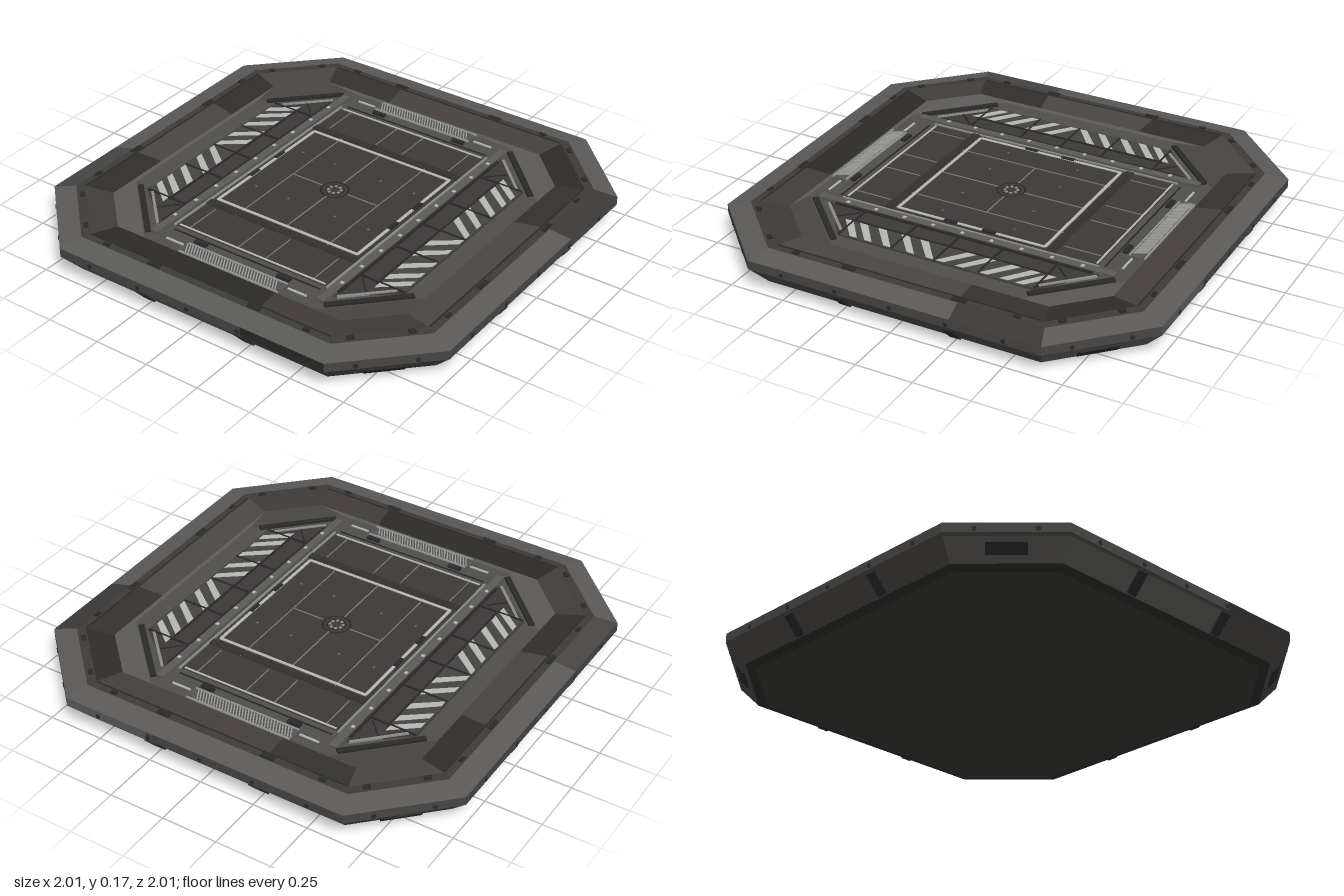
import * as THREE from 'three';

const mats = {};
const mat = (color) => (mats[color] ??= new THREE.MeshStandardMaterial({ color, flatShading: true }));
const LIGHT = 0x5a5957, MID = 0x464543, DARK = 0x2a2928, FLOOR = 0x3d3838, WHITE = 0xb4b4b2;

// Corners of a chamfered square: half width h, flat edge half length c, height y
const ring = ([h, c, y]) =>
  [[h, c], [c, h], [-c, h], [-h, c], [-h, -c], [-c, -h], [c, -h], [h, -c]].map(([x, z]) => new THREE.Vector3(x, y, z));

// Band between two rings; each side is one colour or a list [colour, end, colour, end, ...]
function band(group, name, ra, rb, sides) {
  const a = ring(ra), b = ring(rb), buckets = {};
  for (let i = 0; i < 8; i++) {
    const j = (i + 1) % 8;
    const side = Array.isArray(sides) ? sides[i] : sides;
    const runs = Array.isArray(side) ? side : [side, 1];
    let t0 = 0;
    for (let k = 0; k < runs.length; k += 2) {
      const t1 = runs[k + 1];
      const at = (p, t) => p[i].clone().lerp(p[j], t);
      const [p, q, r, s] = [at(a, t0), at(b, t0), at(b, t1), at(a, t1)];
      (buckets[runs[k]] ??= []).push(p, q, r, p, r, s);
      t0 = t1;
    }
  }
  for (const color in buckets) {
    const g = new THREE.BufferGeometry().setFromPoints(buckets[color]);
    g.computeVertexNormals();
    const m = new THREE.Mesh(g, mat(Number(color)));
    m.name = name;
    group.add(m);
  }
}

function box(group, name, w, h, d, x, y, z, color, turn = 0) {
  const m = new THREE.Mesh(new THREE.BoxGeometry(w, h, d), mat(color));
  m.position.set(x, y, z);
  m.rotation.y = turn;
  m.name = name;
  group.add(m);
  return m;
}

// Flat plate from x,z outline points, rising from height y
function plate(group, name, pts, y, thick, color) {
  const shape = new THREE.Shape(pts.map(([x, z]) => new THREE.Vector2(x, -z)));
  const g = new THREE.ExtrudeGeometry(shape, { depth: thick, bevelEnabled: false });
  const m = new THREE.Mesh(g.rotateX(-Math.PI / 2), mat(color));
  m.position.y = y;
  m.name = name;
  group.add(m);
}

export function createModel() {
  const root = new THREE.Group();
  root.name = 'landingPad';
  const part = (name) => {
    const g = new THREE.Group();
    g.name = name;
    root.add(g);
    return g;
  };

  // Hull: underside, skirt, rim and inner ring
  const hull = part('hull');
  const deckY = 0.14;
  const skirt = [MID, [MID, 0.3, LIGHT, 0.7, LIGHT, 1], LIGHT, MID, MID, MID, LIGHT, MID];
  band(hull, 'underside', [0, 0, 0], [0.88, 0.6, 0], 0x343332);
  band(hull, 'bottomEdge', [0.88, 0.6, 0], [0.92, 0.62, 0.012], DARK);
  band(hull, 'skirt', [0.92, 0.62, 0.012], [0.99, 0.655, 0.09], skirt);
  band(hull, 'skirtLip', [0.99, 0.655, 0.09], [1, 0.66, 0.1], MID);
  band(hull, 'rimSide', [1, 0.66, 0.1], [1, 0.66, 0.14],
    [MID, [DARK, 0.3, MID, 1], MID, MID, MID, [MID, 0.7, LIGHT, 1], MID, MID]);
  band(hull, 'rimSlope', [1, 0.66, 0.14], [0.905, 0.625, 0.16],
    [LIGHT, LIGHT, LIGHT, [MID, 0.3, LIGHT, 1], LIGHT, LIGHT, LIGHT, [0x3a3938, 0.3, LIGHT, 1]]);
  band(hull, 'rimLedge', [0.905, 0.625, 0.16], [0.87, 0.605, 0.162], 0x3c3b39);
  band(hull, 'innerRing', [0.87, 0.605, 0.162], [0.75, 0.565, 0.15], [
    0x3c3a39, [0x403b3a, 0.28, 0x2c2a29, 1], 0x403c3b, [0x302e2c, 0.28, MID, 0.72, 0x302e2c, 1],
    MID, [0x343231, 0.3, 0x453f3d, 1], 0x2e2c2a, [0x343231, 0.3, 0x484746, 1]]);
  band(hull, 'cornerRamp', [0.75, 0.565, 0.15], [0.74, 0.43, deckY],
    [MID, LIGHT, LIGHT, LIGHT, MID, LIGHT, LIGHT, LIGHT]);
  band(hull, 'deck', [0.74, 0.43, deckY], [0, 0, deckY], 0x4e4d4b);

  // The same fittings on all four sides
  for (let k = 0; k < 4; k++) {
    const side = part('sideFittings');
    side.rotation.y = k * Math.PI / 2;
    for (const x of [-0.5, -0.25, 0, 0.25, 0.5]) {
      const bolt = new THREE.Mesh(new THREE.CylinderGeometry(0.01, 0.01, 0.008, 8).rotateX(Math.PI / 2), mat(DARK));
      bolt.position.set(x, 0.115, 0.999);
      bolt.name = 'rimBolt';
      side.add(bolt);
    }
    for (const x of [-0.25, 0.25]) {
      box(side, 'skirtRib', 0.05, 0.1, 0.015, x, 0.053, 0.956, DARK).rotation.x = 0.73;
      box(side, 'ledgeClip', 0.06, 0.008, 0.02, x, 0.163, 0.89, DARK);
    }
    for (const x of [-0.5, 0.5]) box(side, 'ledgeClip', 0.03, 0.01, 0.015, x, 0.163, 0.89, DARK);
    box(side, 'ringSeam', 1.2, 0.004, 0.006, 0, 0.162, 0.87, DARK);
    // Corner fittings
    const corner = new THREE.Group();
    corner.name = 'cornerFittings';
    corner.rotation.y = Math.PI / 4;
    side.add(corner);
    for (const x of [-0.12, 0.12]) {
      const bolt = new THREE.Mesh(new THREE.CylinderGeometry(0.01, 0.01, 0.008, 8).rotateX(Math.PI / 2), mat(DARK));
      bolt.position.set(x, 0.115, 1.173);
      bolt.name = 'cornerBolt';
      corner.add(bolt);
      box(corner, 'cornerClip', 0.03, 0.01, 0.02, x, 0.163, 1.06, DARK);
    }
    box(corner, 'cornerVent', 0.16, 0.05, 0.012, 0, 0.055, 1.132, DARK).rotation.x = 0.73;
    box(corner, 'cornerTrim', 0.36, 0.012, 0.025, 0, deckY + 0.004, 0.81, DARK);
    box(corner, 'cornerStrip', 0.24, 0.012, 0.012, 0, deckY + 0.002, 0.765, 0x8a8a88);
  }

  // Central floor with framed pad
  const floor = part('centreFloor');
  box(floor, 'floorPlate', 0.76, 0.006, 1.18, 0, deckY + 0.002, 0, FLOOR);
  box(floor, 'padPlate', 0.74, 0.004, 0.8, 0, deckY + 0.006, 0, FLOOR);
  const top = deckY + 0.008;
  for (const s of [-1, 1]) {
    box(floor, 'padFrame', 0.72, 0.006, 0.014, 0, top, s * 0.345, WHITE);
    box(floor, 'padFrame', 0.014, 0.006, 0.69, s * 0.357, top, 0, WHITE);
    box(floor, 'padBorder', 0.76, 0.008, 0.035, 0, top, s * 0.38, 0x333130);
    box(floor, 'padLine', 0.005, 0.004, 0.8, s * 0.22, top, 0, 0x777573);
    box(floor, 'crossLine', 0.15, 0.004, 0.006, s * 0.14, top, 0, 0x777573);
    box(floor, 'crossLine', 0.006, 0.004, 0.28, 0, top, s * 0.2, 0x777573);
    box(floor, 'floorEdge', 0.74, 0.006, 0.008, 0, top - 0.002, s * 0.585, WHITE);
    for (const x of [-0.32, -0.07, 0.07, 0.31])
      box(floor, 'bayLine', 0.005, 0.004, 0.17, x, top - 0.003, s * 0.495, 0x777573);
    for (const z of [-0.09, 0.09]) box(floor, 'latch', 0.018, 0.01, 0.06, s * 0.36, top + 0.002, z, DARK);
    for (const x of [-0.29, -0.12, 0.12, 0.29])
      box(floor, 'padStud', 0.01, 0.004, 0.01, x, top, s * 0.17, 0x66615f);
  }

  // Centre hub
  const hub = part('hub');
  for (const [r, t] of [[0.06, 0.004], [0.04, 0.003]]) {
    const m = new THREE.Mesh(new THREE.TorusGeometry(r, t, 4, 24).rotateX(Math.PI / 2), mat(DARK));
    m.position.y = top;
    m.name = 'hubRing';
    hub.add(m);
  }
  for (let i = 0; i < 8; i++) {
    const a = i * Math.PI / 4 + Math.PI / 8;
    box(hub, 'hubStud', 0.012, 0.005, 0.012, 0.028 * Math.cos(a), top, 0.028 * Math.sin(a), 0x8a8a88, -a);
  }

  // Side bays with hazard stripes and rails
  for (const s of [-1, 1]) {
    const bay = part(s > 0 ? 'leftBay' : 'rightBay');
    plate(bay, 'bayFloor', s > 0
      ? [[0.44, -0.63], [0.44, 0.63], [0.66, 0.45], [0.66, -0.45]]
      : [[-0.44, -0.63], [-0.66, -0.45], [-0.66, 0.45], [-0.44, 0.63]], deckY - 0.004, 0.007, FLOOR);
    box(bay, 'stripeBed', 0.12, 0.004, 0.9, s * 0.595, deckY + 0.003, 0, 0x454341);
    box(bay, 'bayRail', 0.012, 0.012, 1.2, s * 0.445, deckY + 0.005, 0, DARK);
    box(bay, 'bayRib', 0.008, 0.008, 0.92, s * 0.533, deckY + 0.005, 0, DARK);
    box(bay, 'rail', 0.035, 0.016, 1.38, s * 0.42, deckY + 0.005, 0, LIGHT);
    box(bay, 'railEdge', 0.008, 0.008, 1.2, s * 0.387, deckY + 0.005, 0, 0x8a8a88);
    for (let i = -4; i <= 4; i++) {
      box(bay, 'railStud', 0.014, 0.006, 0.014, s * 0.425, deckY + 0.014, i * 0.137, WHITE);
    }
    for (const z of [-0.45, -0.2, 0, 0.2, 0.45])
      box(bay, 'bayDivider', 0.21, 0.008, 0.008, s * 0.55, deckY + 0.005, z, DARK);
    for (const e of [-1, 1]) {
      // Slanted stripes, outer ends nearer the middle
      for (const z of [0.04, 0.13, 0.24, 0.33, 0.4]) {
        const p = [[0.65, z - 0.035], [0.65, z], [0.54, z + 0.09], [0.54, z + 0.05]].map(([x, v]) => [s * x, e * Math.max(v, 0.005)]);
        plate(bay, 'hazardStripe', p, deckY + 0.005, 0.002, WHITE);
      }
      box(bay, 'endBrace', 0.1, 0.006, 0.006, s * 0.5, deckY + 0.004, e * 0.5, DARK, -s * e * 0.8);
    }
  }

  // Grilles and markers at both ends
  for (const s of [-1, 1]) {
    const end = part(s > 0 ? 'frontGrille' : 'backGrille');
    const outline = [[-0.26, 0.675], [-0.26, 0.735], [0.22, 0.735], [0.255, 0.715], [0.255, 0.675]];
    plate(end, 'grilleBed', outline.map(([x, z]) => [x, s * z]), deckY, 0.006, 0x555351);
    for (let i = 0; i < 34; i++)
      box(end, 'grilleBar', 0.005, 0.005, 0.06, -0.235 + i * 0.0137, deckY + 0.008, s * 0.705, 0x9a9a98, 0.5);
    for (const z of [0.672, 0.738]) box(end, 'grilleEdge', 0.5, 0.008, 0.005, 0, deckY + 0.006, s * z, 0x9a9a98);
    for (const e of [-1, 1]) {
      box(end, 'endMarker', 0.09, 0.006, 0.008, e * 0.31, deckY + 0.003, s * 0.69, WHITE);
      box(end, 'clip', 0.06, 0.014, 0.02, e * 0.21, deckY + 0.005, s * 0.645, DARK);
    }
    box(end, 'endSeam', 0.74, 0.004, 0.006, 0, deckY + 0.002, s * 0.62, DARK);
  }
  return root;
}
